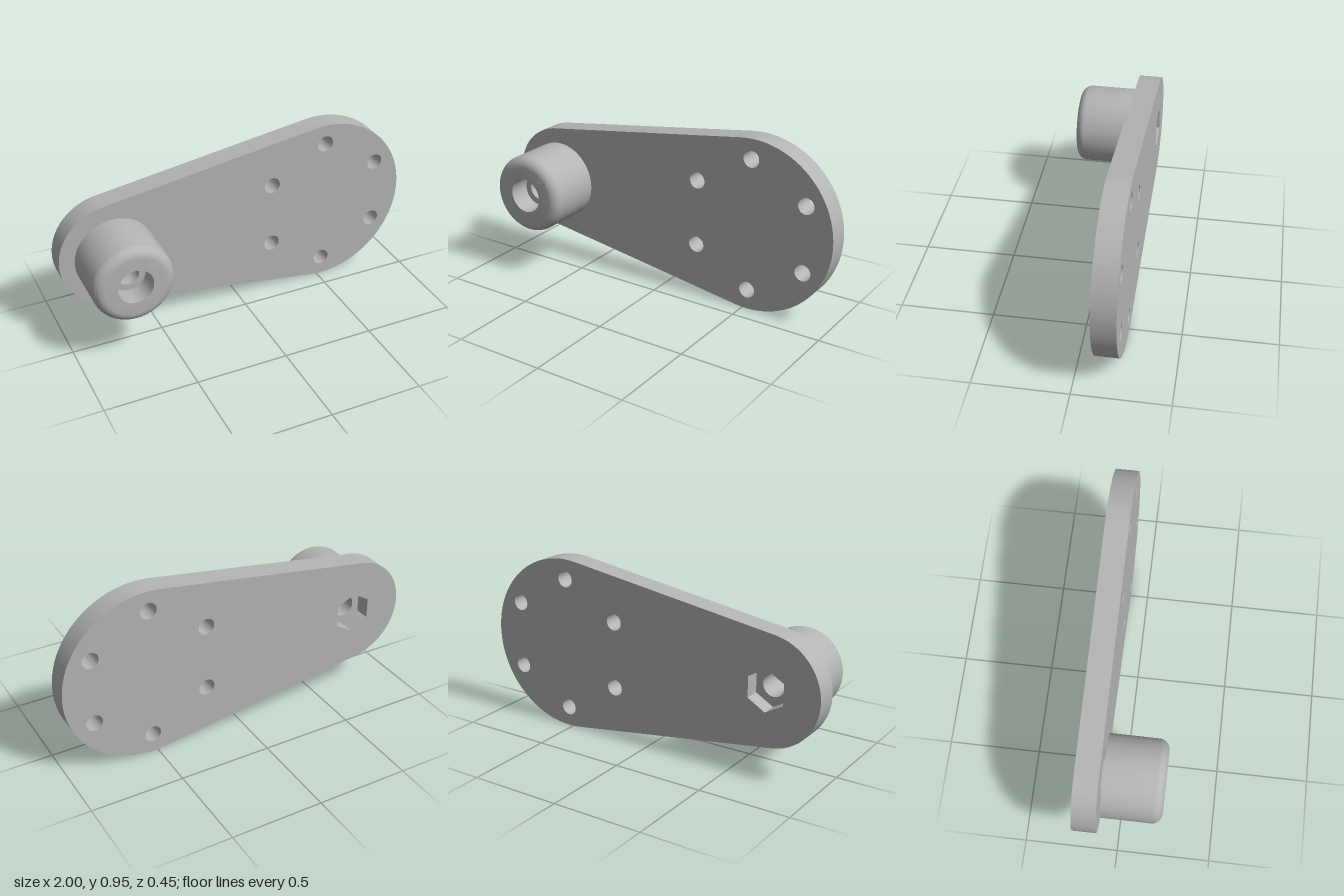
import * as THREE from 'three';
import { toCreasedNormals } from 'three/addons/utils/BufferGeometryUtils.js';

const CY = 0.476;                                // height of the centre line
const BIG = { x: 0.524, r: 0.476 };              // wide end of the plate
const SMALL = { x: -0.703, r: 0.297 };           // narrow end, carries the roller
const BACK = -0.225, FRONT = -0.1;               // plate faces in z
const POCKET = 0.085;                            // depth of the nut pocket
const BORE = 0.06;

function circlePath(x, y, r) {
  return new THREE.Path().absarc(x, y, r, 0, Math.PI * 2, true);
}

// Pointy-top hexagon around the roller axis
function hexPoints(r) {
  return Array.from({ length: 6 }, (_, i) => {
    const a = Math.PI / 6 + i * Math.PI / 3;
    return new THREE.Vector2(SMALL.x + r * Math.cos(a), CY + r * Math.sin(a));
  });
}

function extrude(shape, z0, z1) {
  const g = new THREE.ExtrudeGeometry(shape, { depth: z1 - z0, bevelEnabled: false, curveSegments: 48 });
  g.translate(0, 0, z0);
  return toCreasedNormals(g, 0.5);
}

// Turned part on the roller axis; profile is [radius, z]
function turned(profile) {
  const g = new THREE.LatheGeometry(profile.map(([r, z]) => new THREE.Vector2(r, z)), 72);
  g.rotateX(Math.PI / 2);
  g.translate(SMALL.x, CY, 0);
  return toCreasedNormals(g, 0.5);
}

export function createModel() {
  const group = new THREE.Group();
  const grey = new THREE.MeshStandardMaterial({ color: 0xb4b4b4, side: THREE.DoubleSide });
  grey.name = 'grey';
  const add = (name, geometry) => {
    const mesh = new THREE.Mesh(geometry, grey);
    mesh.name = name;
    group.add(mesh);
  };

  // Tapered plate: two arcs joined by their common tangents
  const t = Math.acos((SMALL.r - BIG.r) / (BIG.x - SMALL.x));
  const outline = new THREE.Shape();
  outline.absarc(BIG.x, CY, BIG.r, -t, t, false);
  outline.absarc(SMALL.x, CY, SMALL.r, t, Math.PI * 2 - t, false);
  outline.closePath();
  for (let i = 0; i < 6; i++) {
    const a = Math.PI / 6 + i * Math.PI / 3;
    outline.holes.push(circlePath(BIG.x + 0.367 * Math.cos(a), CY + 0.367 * Math.sin(a), 0.045));
  }
  outline.holes.push(new THREE.Path(hexPoints(0.114).reverse()));
  add('plate', extrude(outline, BACK, FRONT));

  // Floor of the hexagonal nut pocket, with the bore through it
  const floor = new THREE.Shape(hexPoints(0.114));
  floor.holes.push(circlePath(SMALL.x, CY, BORE));
  add('pocketFloor', extrude(floor, BACK + POCKET, FRONT));

  // Thin spacer between plate and roller
  add('spacer', turned([[0.122, FRONT], [0.122, -0.088]]));

  // Roller with rounded front rim, counterbore and through bore
  const fillet = 0.055;
  const rim = Array.from({ length: 11 }, (_, i) => {
    const a = i / 10 * Math.PI / 2;
    return [0.217 - fillet + fillet * Math.cos(a), 0.226 - fillet + fillet * Math.sin(a)];
  });
  add('roller', turned([
    [BORE, -0.088], [0.217, -0.088], ...rim,
    [0.095, 0.226], [0.095, 0.106], [BORE, 0.106], [BORE, FRONT],
  ]));

  return group;
}
